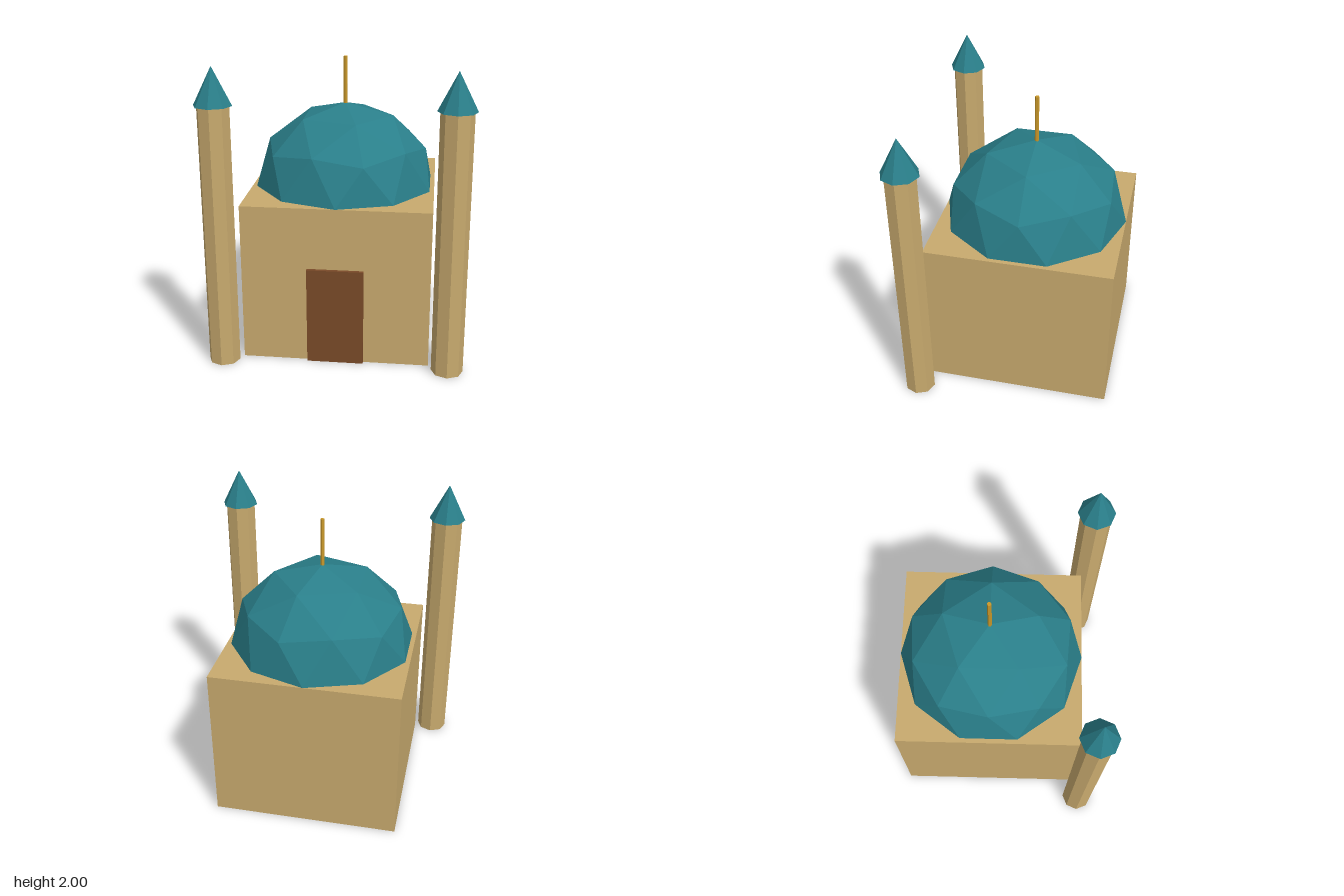
import * as THREE from 'three';

const paint = (name, color) => {
  const m = new THREE.MeshStandardMaterial({ color, flatShading: true });
  m.name = name;
  return m;
};

// Upper half of a once-subdivided icosahedron with a corner at the pole
function domeGeometry(radius, height) {
  const verts = [];
  const at = (deg, r, y) => {
    const a = THREE.MathUtils.degToRad(deg);
    return [r * radius * Math.cos(a), y * height, -r * radius * Math.sin(a)];
  };
  const tri = (...corners) => corners.forEach((c) => verts.push(...c));
  const pole = [0, height, 0];
  for (let k = 0; k < 5; k++) {
    const d = k * 72;
    const a = at(d, 0.526, 0.851), a2 = at(d + 72, 0.526, 0.851);
    const b = at(d, 0.894, 0.447), b2 = at(d + 72, 0.894, 0.447);
    const c = at(d + 36, 0.851, 0.526);
    const e0 = at(d - 18, 1, 0), e1 = at(d + 18, 1, 0), e2 = at(d + 54, 1, 0);
    // crown
    tri(pole, a, a2);
    // shoulder
    tri(a, b, c);
    tri(a, c, a2);
    tri(a2, c, b2);
    // skirt
    tri(b, e0, e1);
    tri(b, e1, c);
    tri(c, e1, e2);
    tri(c, e2, b2);
  }
  const g = new THREE.BufferGeometry();
  g.setAttribute('position', new THREE.Float32BufferAttribute(verts, 3));
  g.computeVertexNormals();
  return g;
}

export function createModel() {
  const stone = paint('sandstone', 0xc8aa6e);
  const teal = paint('teal tile', 0x2a7f8a);
  const wood = paint('brown wood', 0x7a4a28);
  const gold = paint('gold', 0xc9982a);

  const model = new THREE.Group();
  model.name = 'domedHall';
  const add = (parent, name, geometry, material, x, y, z) => {
    const mesh = new THREE.Mesh(geometry, material);
    mesh.name = name;
    mesh.position.set(x, y, z);
    parent.add(mesh);
    return mesh;
  };

  const size = 1.25, wallTop = 1.085, hallZ = -0.086;
  const front = hallZ + size / 2;

  // Hall with its door
  add(model, 'hall', new THREE.BoxGeometry(size, wallTop, size), stone, 0, wallTop / 2, hallZ);
  add(model, 'door', new THREE.BoxGeometry(0.376, 0.667, 0.024), wood, 0, 0.3335, front + 0.012);

  // Dome and finial
  add(model, 'dome', domeGeometry(size / 2, 0.5625), teal, 0, wallTop, hallZ);
  add(model, 'finial', new THREE.CylinderGeometry(0.014, 0.014, 0.36, 6), gold, 0, 1.784, hallZ);

  // Pair of minarets at the front corners
  const shaftTop = 1.755, roofHeight = 2 - shaftTop;
  for (const side of [-1, 1]) {
    const minaret = new THREE.Group();
    minaret.name = side > 0 ? 'leftMinaret' : 'rightMinaret';
    minaret.position.set(side * 0.75, 0, 0.585);
    add(minaret, 'shaft', new THREE.CylinderGeometry(0.105, 0.105, shaftTop, 8), stone, 0, shaftTop / 2, 0);
    add(minaret, 'roof', new THREE.ConeGeometry(0.124, roofHeight, 8), teal, 0, shaftTop + roofHeight / 2, 0);
    model.add(minaret);
  }
  return model;
}
